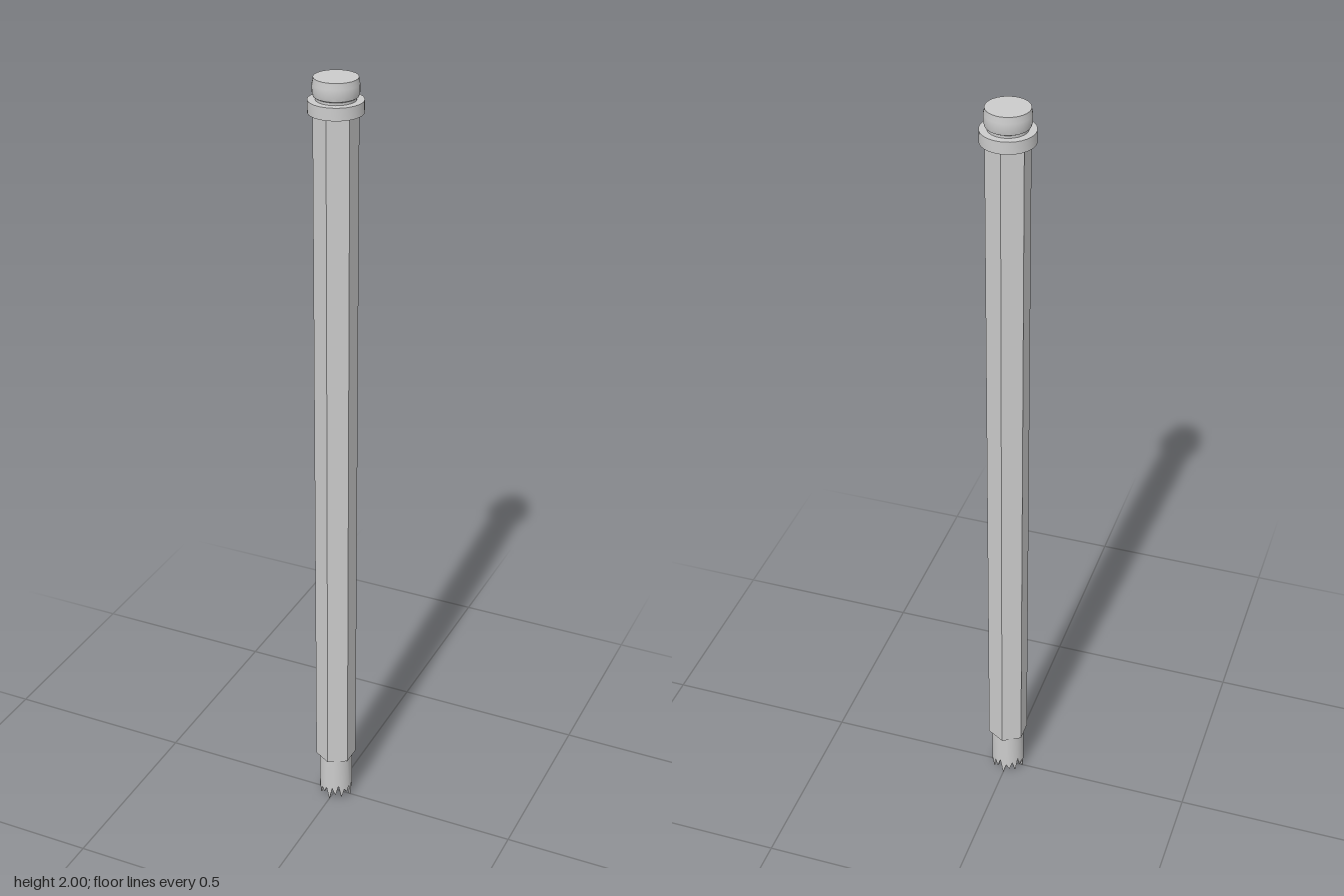
import * as THREE from 'three';
import { toCreasedNormals } from 'three/addons/utils/BufferGeometryUtils.js';

const grey = new THREE.MeshStandardMaterial({ color: 0xcccccc });

function addPart(group, name, geometry) {
  const mesh = new THREE.Mesh(toCreasedNormals(geometry, 0.6), grey);
  mesh.name = name;
  group.add(mesh);
  return mesh;
}

// Turned solid from [radius, y] pairs, listed bottom to top
function turned(points, segments = 32) {
  return new THREE.LatheGeometry(points.map(([r, y]) => new THREE.Vector2(r, y)), segments);
}

// Hollow tip whose lower rim is cut into uneven teeth
function toothedTip() {
  const profile = [[0, 0.06], [0.034, 0.06], [0.038, 0.02], [0.0435, 0.02], [0.0435, 0.135]];
  const segments = 32;
  const geometry = turned(profile, segments);
  const pos = geometry.attributes.position;
  const tips = [0, 0.014, 0.006, 0.018];
  const valleys = [0.036, 0.045, 0.03];
  for (let i = 0; i <= segments; i++) {
    const k = i % segments;
    const tooth = k >> 1;
    const y = k % 2 ? valleys[tooth % valleys.length] : tips[tooth % tips.length];
    for (const j of [2, 3]) pos.setY(i * profile.length + j, y);
  }
  return geometry;
}

export function createModel() {
  const group = new THREE.Group();

  // Hexagonal shaft, one edge facing the front
  const shaft = addPart(group, 'shaft', new THREE.CylinderGeometry(0.053, 0.053, 1.795, 6));
  shaft.position.y = 0.13 + 1.795 / 2;

  addPart(group, 'toothedTip', toothedTip());

  // Collar ring around the top of the shaft
  addPart(group, 'collar', turned([
    [0, 1.918], [0.065, 1.918], [0.065, 1.948], [0, 1.948],
  ]));

  // Grooved cap above the collar
  addPart(group, 'cap', turned([
    [0.047, 1.945], [0.047, 1.954], [0.052, 1.957], [0.0545, 1.966],
    [0.0545, 1.985], [0.052, 1.996], [0.052, 2], [0, 2],
  ]));

  return group;
}
